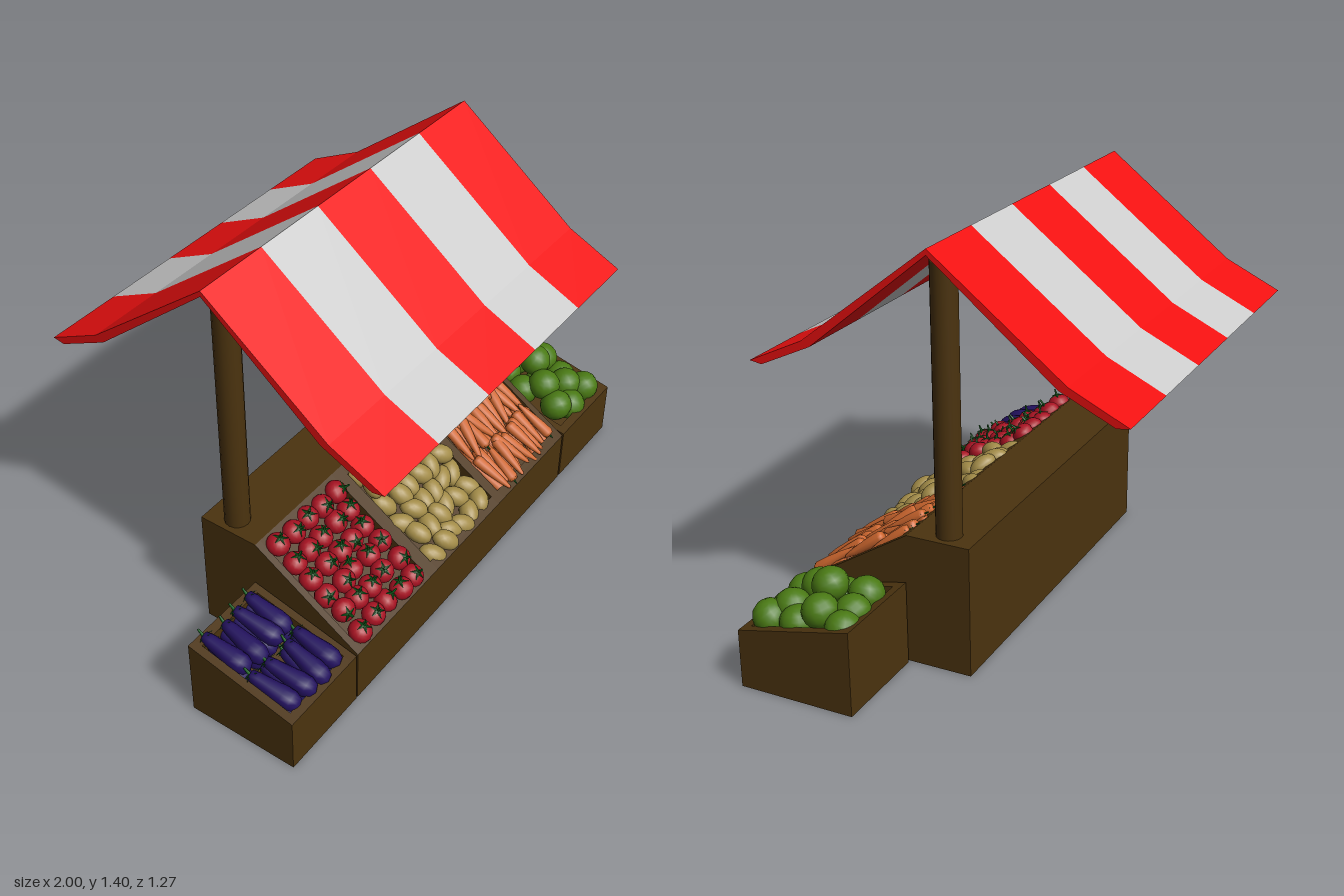
import * as THREE from 'three';

const mat = (color) => new THREE.MeshStandardMaterial({ color });
const wood = mat(0x4b330f), red = mat(0xf01010), white = mat(0xcccccc), leaf = mat(0x0f5a1a);
const purple = mat(0x22105e), tomatoRed = mat(0xa81222), tan = mat(0xa38c48);
const orange = mat(0xd0682f), green = mat(0x4a7a14);

let seed = 7;
const rand = (a, b) => {
  seed = (seed * 16807) % 2147483647;
  return a + (b - a) * seed / 2147483647;
};

function add(parent, name, geometry, material, pos = [0, 0, 0], rot = [0, 0, 0], scale = [1, 1, 1]) {
  const m = new THREE.Mesh(geometry, material);
  m.name = name;
  m.position.set(...pos);
  m.rotation.set(...rot);
  m.scale.set(...scale);
  parent.add(m);
  return m;
}

function group(parent, name, pos = [0, 0, 0], rot = [0, 0, 0]) {
  const g = new THREE.Group();
  g.name = name;
  g.position.set(...pos);
  g.rotation.set(...rot);
  parent.add(g);
  return g;
}

// Extrudes a (z, y) profile along x from x0 to x1
function slab(parent, name, x0, x1, pts, material = wood) {
  const shape = new THREE.Shape(pts.map(([z, y]) => new THREE.Vector2(z, y)));
  const geo = new THREE.ExtrudeGeometry(shape, { depth: x1 - x0, bevelEnabled: false });
  geo.rotateY(-Math.PI / 2).translate(x1, 0, 0);
  return add(parent, name, geo, material);
}

// Wooden bin with a sloping open top; walls lists the x ranges of ends and dividers
function bin(parent, name, walls, zBack, yTop, depth) {
  const g = group(parent, name);
  const zF = 0.52, zT = 0.12, t = 0.03, y0 = 0.2, s = (yTop - y0) / (zF - zT);
  const flat = zBack < zT ? [[zBack, yTop]] : [];
  const x0 = walls[0][0], x1 = walls[walls.length - 1][1];
  const full = [[zBack, 0], [zF, 0], [zF, y0], [zT, yTop], ...flat];
  for (const [a, b] of walls) slab(g, 'wall', a, b, full);
  for (let i = 0; i + 1 < walls.length; i++) {
    const a = walls[i][1], b = walls[i + 1][0];
    slab(g, 'frontBoard', a, b, [[zF - t, 0], [zF, 0], [zF, y0], [zF - t, y0 + t * s]]);
    slab(g, 'backBoard', a, b, [[zBack, 0], [zT + t, 0], [zT + t, yTop - t * s], [zT, yTop], ...flat]);
    slab(g, 'trayFloor', a, b, [[zT + t, 0], [zF - t, 0], [zF - t, y0 + t * s - depth], [zT + t, yTop - t * s - depth]]);
  }
  return { x0, x1 };
}

// Group lying in the sloping opening: local z runs downhill, y is outward
const slopeGroup = (parent, name, x, yTop) =>
  group(parent, name, [x, (yTop + 0.2) / 2, 0.32], [Math.atan((yTop - 0.2) / 0.4), 0, 0]);

const lathe = (pts, n) => new THREE.LatheGeometry(pts.map(([r, y]) => new THREE.Vector2(r, y)), n);

// Five-pointed leafy cap
function leafCap(parent, pos, size, rot = [0, 0, 0]) {
  const g = group(parent, 'leafCap', pos, rot);
  for (let i = 0; i < 5; i++) {
    const a = i * Math.PI * 2 / 5;
    const geo = new THREE.ConeGeometry(size * 0.28, size, 4);
    geo.scale(1, 1, 0.4).translate(0, size / 2, 0).rotateX(1.75).rotateY(a);
    add(g, 'leaf', geo, leaf);
  }
  add(g, 'stem', new THREE.CylinderGeometry(size * 0.1, size * 0.16, size * 0.8, 6), leaf, [0, size * 0.35, 0]);
}

export function createModel() {
  const root = new THREE.Group();
  root.name = 'marketStall';

  // Wooden counter and side crates
  bin(root, 'counter', [[-0.66, -0.635], [-0.25, -0.2], [0.19, 0.23], [0.62, 0.645]], -0.1, 0.45, 0.06);
  bin(root, 'leftCrate', [[0.655, 0.685], [0.97, 1]], 0.12, 0.29, 0.08);
  bin(root, 'rightCrate', [[-1, -0.97], [-0.695, -0.667]], 0.12, 0.29, 0.08);

  // Posts with a small chamfer at the top
  const post = lathe([[0, 0.44], [0.043, 0.44], [0.043, 0.44], [0.043, 1.34], [0.043, 1.34], [0.034, 1.355], [0.034, 1.355], [0, 1.355]], 16);
  for (const x of [-0.598, 0.583]) add(root, 'post', post, wood, [x, 0, 0]);

  // Striped canopy
  const canopy = group(root, 'canopy');
  const outer = [[0.635, 0.963], [0.443, 1.055], [0, 1.4]];
  const inner = [[0, 1.38], [0.413, 1.04], [0.592, 0.956]];
  const mirror = (pts) => pts.map(([z, y]) => [-z, y]).reverse();
  const profile = [...outer, ...mirror(outer).slice(1), ...mirror(inner), ...inner.slice(1)];
  const w = 1.386 / 5;
  for (let i = 0; i < 5; i++) {
    slab(canopy, 'stripe', -0.7 + i * w, -0.7 + (i + 1) * w, profile, i % 2 ? white : red);
  }

  // Tomatoes
  const ball = new THREE.SphereGeometry(1, 14, 10);
  const tomatoes = slopeGroup(root, 'tomatoes', -0.442, 0.45);
  for (let r = 0; r < 6; r++) for (let c = 0; c < 5; c++) {
    const p = [(c - 2) * 0.074 + rand(-0.008, 0.008), rand(-0.012, 0.008), (r - 2.5) * 0.074 + rand(-0.006, 0.006)];
    const g = group(tomatoes, 'tomato', p, [rand(-0.5, 0.5), rand(0, 3), rand(-0.5, 0.5)]);
    add(g, 'fruit', ball, tomatoRed, [0, 0, 0], [0, 0, 0], [0.041, 0.036, 0.041]);
    leafCap(g, [0, 0.036, 0], 0.03);
  }

  // Potatoes
  const potatoes = slopeGroup(root, 'potatoes', -0.005, 0.45);
  for (let r = 0; r < 6; r++) for (let c = 0; c < 6; c++) {
    const p = [(c - 2.5) * 0.063 + rand(-0.008, 0.008), rand(-0.022, 0.012), (r - 2.5) * 0.073 + rand(-0.01, 0.01)];
    add(potatoes, 'potato', ball, tan, p, [rand(-0.25, 0.25), rand(-0.9, 0.9), rand(-0.2, 0.2)], [0.035, 0.033, 0.052]);
  }

  // Carrots, two layers of tapering roots
  const carrots = slopeGroup(root, 'carrots', 0.425, 0.45);
  const root1 = lathe([[0, -0.08], [0.015, -0.079], [0.021, -0.068], [0.019, -0.02], [0.013, 0.04], [0.006, 0.078], [0, 0.084]], 10);
  for (let layer = 0; layer < 2; layer++) for (let r = 0; r < 3; r++) for (let c = 0; c < 10; c++) {
    const flip = rand(0, 1) < 0.2 ? Math.PI : 0;
    const p = [(c - 4.5) * 0.036 + rand(-0.006, 0.006), -0.022 + layer * 0.026 + rand(-0.008, 0.008),
      (r - 1) * 0.135 + rand(-0.015, 0.015)];
    const g = group(carrots, 'carrot', p, [rand(-0.08, 0.08), flip + rand(-0.35, 0.35), 0]);
    add(g, 'root', root1, orange, [0, 0, 0], [Math.PI / 2, 0, 0]);
    if (r === 0 || flip) leafCap(g, [0, 0, -0.078], 0.022, [-Math.PI / 2, 0, 0]);
  }

  // Eggplants in two rows, stems uphill
  const eggplants = slopeGroup(root, 'eggplants', -0.832, 0.29);
  const body = lathe([[0, -0.09], [0.018, -0.088], [0.023, -0.06], [0.027, -0.02], [0.034, 0.03], [0.034, 0.062], [0.024, 0.085], [0, 0.094]], 12);
  for (let layer = 0; layer < 2; layer++) for (let r = 0; r < 2; r++) for (let c = 0; c < 4; c++) {
    const p = [(c - 1.5) * 0.07 + rand(-0.005, 0.005), -0.038 + layer * 0.042 + rand(-0.006, 0.006),
      (r - 0.5) * 0.19 + rand(-0.008, 0.008)];
    const g = group(eggplants, 'eggplant', p, [rand(0, 0.12), rand(-0.12, 0.12), 0]);
    add(g, 'fruit', body, purple, [0, 0, 0], [Math.PI / 2, 0, 0]);
    leafCap(g, [0, 0, -0.09], 0.036, [-1.1, 0, 0]);
  }

  // Melons piled in the left crate
  const melons = group(root, 'melons');
  const pile = [
    [0.83, 0.333, 0.285], [0.915, 0.287, 0.27], [0.76, 0.285, 0.2], [0.86, 0.275, 0.19], [0.93, 0.255, 0.18],
    [0.775, 0.285, 0.36], [0.75, 0.235, 0.43], [0.87, 0.25, 0.4], [0.92, 0.225, 0.45], [0.74, 0.25, 0.29],
    [0.82, 0.205, 0.45], [0.92, 0.23, 0.35], [0.84, 0.23, 0.31],
  ];
  for (const p of pile) {
    add(melons, 'melon', ball, green, p, [rand(-0.5, 0.5), rand(0, 3), rand(-0.5, 0.5)], [0.06, 0.056, 0.06]);
  }

  return root;
}
